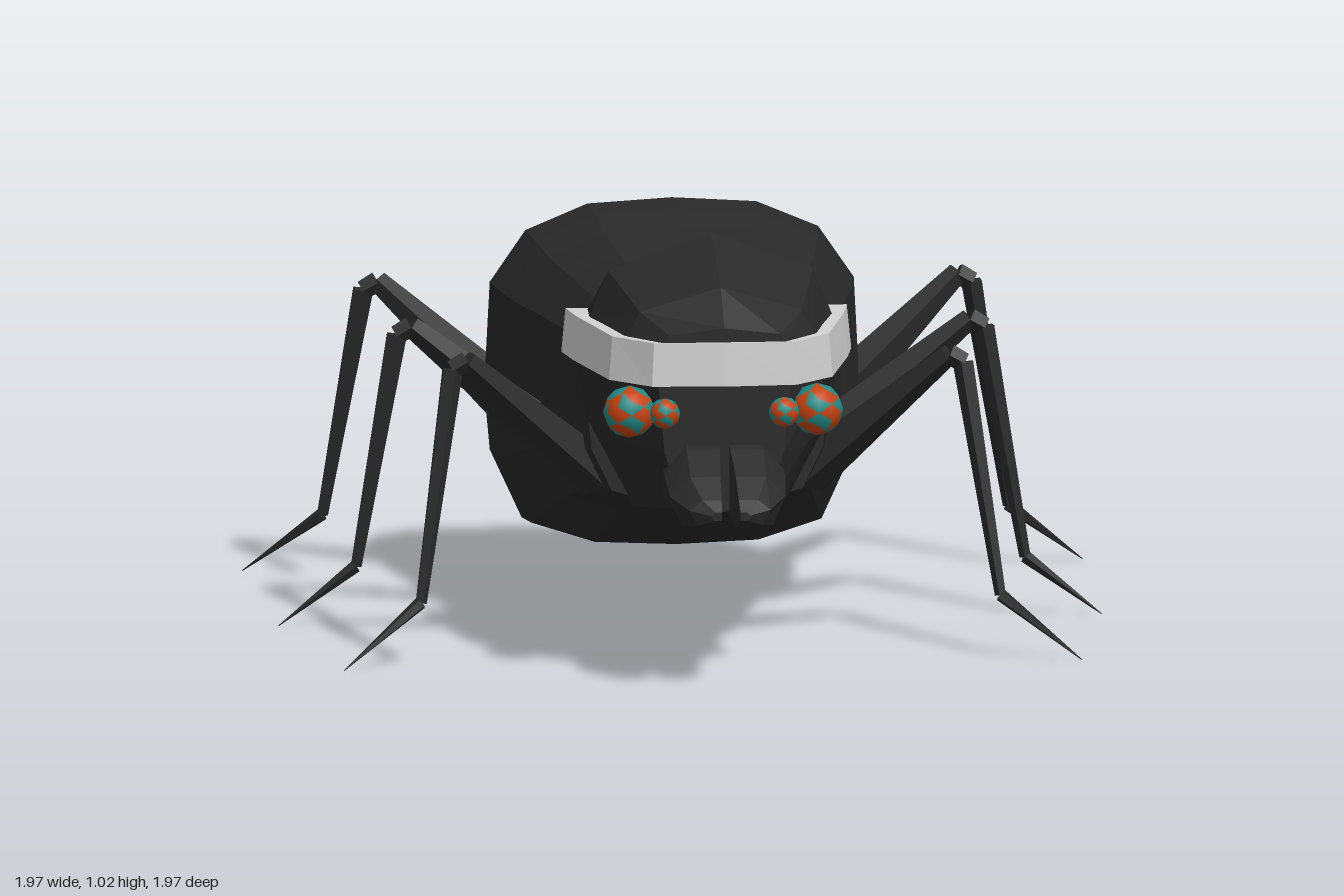
import * as THREE from 'three';

const black = new THREE.MeshStandardMaterial({ color: 0x292929 });
const silver = new THREE.MeshStandardMaterial({ color: 0xd2d2d2 });
const red = new THREE.MeshStandardMaterial({ color: 0xc8420f });
const teal = new THREE.MeshStandardMaterial({ color: 0x1f8a85 });
black.name = 'shell black';
silver.name = 'band silver';
red.name = 'eye red';
teal.name = 'eye teal';

// Faceted solid through rings of [x, y, z] points, closed at both ends
function loft(rings) {
  const n = rings[0].length, tris = [];
  for (let i = 0; i < rings.length - 1; i++) {
    for (let j = 0; j < n; j++) {
      const k = (j + 1) % n, a = rings[i], b = rings[i + 1];
      tris.push([a[j], a[k], b[k]], [a[j], b[k], b[j]]);
    }
  }
  const centre = r => [0, 1, 2].map(c => r.reduce((s, p) => s + p[c], 0) / n);
  const first = rings[0], last = rings[rings.length - 1];
  const c0 = centre(first), c1 = centre(last);
  for (let j = 0; j < n; j++) {
    const k = (j + 1) % n;
    tris.push([c0, first[k], first[j]], [c1, last[j], last[k]]);
  }
  // Signed volume tells whether the faces look outward
  let volume = 0;
  for (const t of tris) {
    const [a, b, c] = t.map(p => new THREE.Vector3(...p));
    volume += a.dot(b.cross(c));
  }
  if (volume < 0) tris.forEach(t => t.reverse());
  const g = new THREE.BufferGeometry();
  g.setAttribute('position', new THREE.Float32BufferAttribute(tris.flat(2), 3));
  g.computeVertexNormals();
  return g;
}

// Full ring from the right half of a section, running top to bottom
const mirrorRing = (half, z) => [
  ...half.map(([x, y]) => [x, y, z]),
  ...half.slice(1, -1).reverse().map(([x, y]) => [-x, y, z]),
];

function add(parent, name, geometry, material) {
  const mesh = new THREE.Mesh(geometry, material);
  mesh.name = name;
  parent.add(mesh);
  return mesh;
}

// Tapered limb segment between two points
function segment(parent, name, a, b, ra, rb) {
  const from = new THREE.Vector3(...a), to = new THREE.Vector3(...b);
  const dir = to.clone().sub(from);
  const g = new THREE.CylinderGeometry(rb, ra, dir.length(), 5).toNonIndexed();
  g.computeVertexNormals();
  const mesh = add(parent, name, g, black);
  mesh.position.copy(from).add(to).multiplyScalar(0.5);
  mesh.quaternion.setFromUnitVectors(new THREE.Vector3(0, 1, 0), dir.normalize());
}

// Faceted eye with red and teal cells
function eye(parent, name, x, y, z, r) {
  const g = new THREE.IcosahedronGeometry(r, 1);
  for (let f = 0; f < g.attributes.position.count / 3; f++) {
    g.addGroup(f * 3, 3, f % 4 === 1 || f % 4 === 2 ? 0 : 1);
  }
  add(parent, name, g, [red, teal]).position.set(x, y, z);
}

export function createModel() {
  const model = new THREE.Group();
  model.name = 'insect';

  // Body: z, half width, top, bottom
  const section = [[0, 1], [0.45, 0.985], [0.78, 0.91], [0.97, 0.76], [1, 0.45],
    [0.97, 0.27], [0.8, 0.07], [0.45, 0.01], [0, 0]];
  const body = [
    [0.33, 0.28, 0.86, 0.37], [0.2, 0.3, 0.87, 0.345], [0, 0.33, 0.875, 0.31],
    [-0.18, 0.36, 0.885, 0.265], [-0.38, 0.4, 0.905, 0.18], [-0.52, 0.425, 0.925, 0.13],
    [-0.65, 0.44, 0.93, 0.12], [-0.76, 0.425, 0.9, 0.15], [-0.87, 0.37, 0.81, 0.24],
    [-0.945, 0.27, 0.7, 0.36], [-0.98, 0.14, 0.6, 0.47],
  ];
  add(model, 'body', loft(body.map(([z, w, top, bottom]) =>
    mirrorRing(section.map(([x, t]) => [x * w, bottom + t * (top - bottom)]), z))), black);

  // Head: z, crown top, crown edge x and y, then widths downward and chin height
  const head = [
    [0.31, 0.89, 0.22, 0.87, 0.28, 0.31, 0.28, 0.17, 0.35],
    [0.42, 1.03, 0.24, 0.94, 0.285, 0.3, 0.27, 0.17, 0.37],
    [0.7, 0.945, 0.19, 0.89, 0.22, 0.24, 0.2, 0.14, 0.415],
    [0.8, 0.865, 0.13, 0.85, 0.145, 0.155, 0.14, 0.1, 0.43],
  ];
  add(model, 'head', loft(head.map(([z, top, ex, ey, w1, w2, w3, w4, chin]) =>
    mirrorRing([[0, top], [ex, ey], [w1, 0.83], [w2, 0.73], [w3, 0.57], [w4, chin + 0.01],
      [0, chin]], z))), black);

  // Headband: outer x and z, inner x and z
  const half = [[0.34, 0.3, 0.26, 0.3], [0.322, 0.42, 0.28, 0.42],
    [0.262, 0.7, 0.225, 0.69], [0.17, 0.805, 0.14, 0.78], [0, 0.818, 0, 0.785]];
  const band = [...half, ...half.slice(0, -1).reverse().map(([a, b, c, d]) => [-a, b, -c, d])];
  add(model, 'headband', loft(band.map(([ox, oz, ix, iz]) =>
    [[ox, 0.73, oz], [ox * 0.97, 0.832, oz - 0.005], [ix, 0.832, iz], [ix, 0.73, iz]])), silver);

  // Mandible: z, inner x, outer x, bottom, top
  const jaw = [[0.7, 0.012, 0.14, 0.42, 0.63], [0.82, 0.012, 0.142, 0.42, 0.58],
    [0.9, 0.018, 0.135, 0.415, 0.53], [0.96, 0.02, 0.095, 0.425, 0.485],
    [0.985, 0.022, 0.045, 0.44, 0.46]];

  // Legs: root, knee, ankle, foot
  const legs = {
    frontLeg: [[0.24, 0.42, 0.2], [0.565, 0.72, 0.345], [0.68, 0.16, 0.425], [0.865, 0.015, 0.495]],
    middleLeg: [[0.3, 0.43, -0.16], [0.655, 0.72, -0.145], [0.785, 0.155, -0.135], [0.965, 0.015, -0.14]],
    rearLeg: [[0.38, 0.45, -0.64], [0.68, 0.72, -0.775], [0.805, 0.16, -0.825], [0.985, 0.015, -0.91]],
  };

  for (const [side, s] of [['left', 1], ['right', -1]]) {
    add(model, side + 'Mandible', loft(jaw.map(([z, a, b, lo, hi]) => [
      [s * a, hi, z], [s * (a + (b - a) * 0.6), hi, z], [s * b, lo + (hi - lo) * 0.6, z],
      [s * (a + (b - a) * 0.75), lo, z], [s * a, lo, z]])), black);

    eye(model, side + 'LargeEye', s * 0.22, 0.665, 0.765, 0.062);
    eye(model, side + 'SmallEye', s * 0.14, 0.665, 0.797, 0.037);

    for (const [name, points] of Object.entries(legs)) {
      const leg = new THREE.Group();
      leg.name = side + name[0].toUpperCase() + name.slice(1);
      const [root, knee, ankle, foot] = points.map(([x, y, z]) => [s * x, y, z]);
      const bend = [knee[0] + s * 0.035, knee[1] - 0.02, knee[2]];
      segment(leg, 'thigh', root, knee, 0.062, 0.026);
      segment(leg, 'knee', knee, bend, 0.026, 0.024);
      segment(leg, 'shin', bend, ankle, 0.026, 0.014);
      segment(leg, 'foot', ankle, foot, 0.016, 0.001);
      model.add(leg);
    }
  }
  return model;
}
